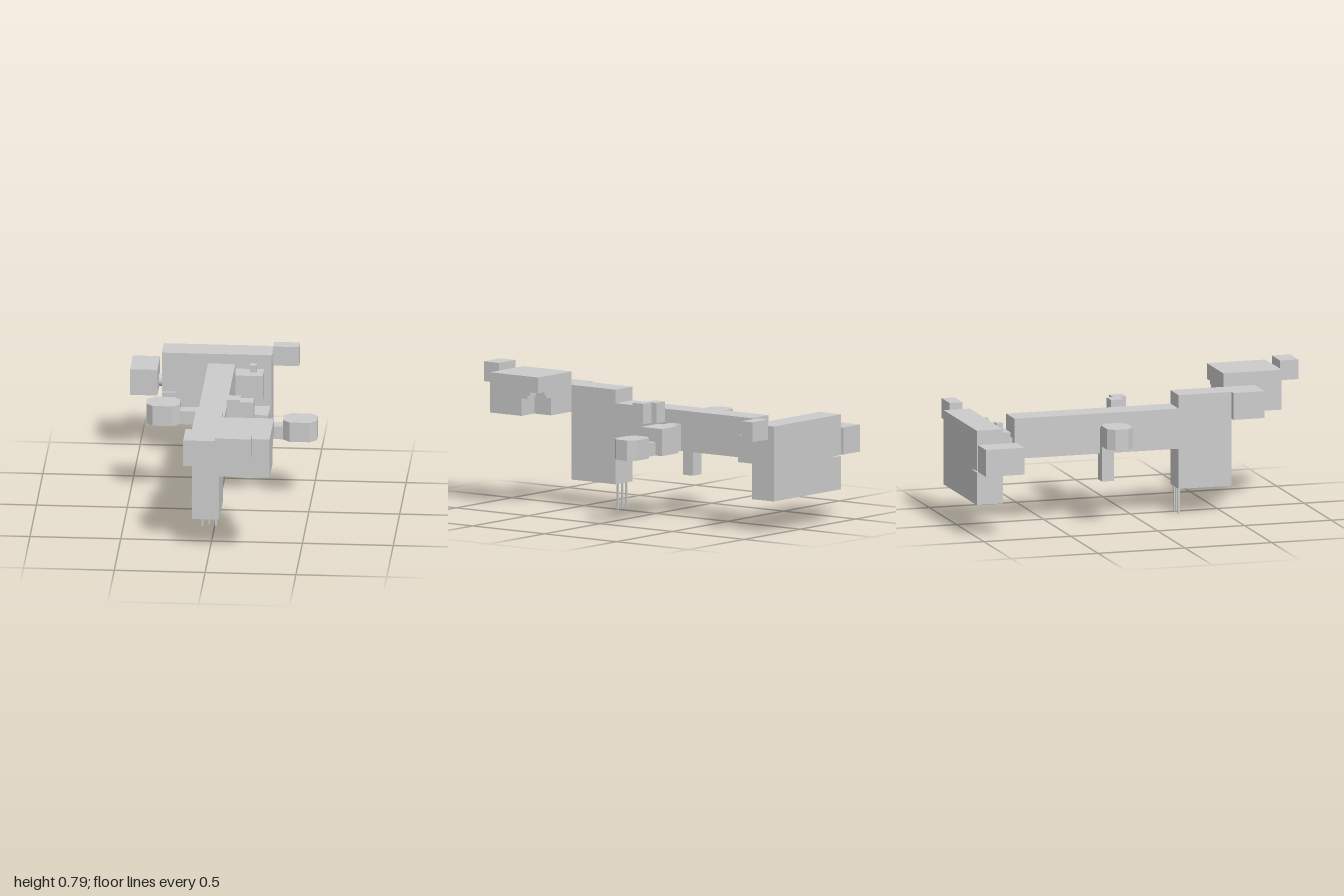
import * as THREE from 'three';

const grey = new THREE.MeshStandardMaterial({ color: 0xcccccc });
grey.name = 'light grey';

export function createModel() {
  const model = new THREE.Group();
  model.name = 'blockStation';

  function add(name, geometry) {
    const mesh = new THREE.Mesh(geometry, grey);
    mesh.name = name;
    model.add(mesh);
    return mesh;
  }

  // box given by its limits on each axis
  function box(name, x0, x1, y0, y1, z0, z1) {
    const g = new THREE.BoxGeometry(x1 - x0, y1 - y0, z1 - z0);
    g.translate((x0 + x1) / 2, (y0 + y1) / 2, (z0 + z1) / 2);
    return add(name, g);
  }

  const toPoints = (list, sign = 1) => list.map(([a, b]) => new THREE.Vector2(a, b * sign));
  const rect = (a0, a1, b0, b1) => [[a0, b0], [a1, b0], [a1, b1], [a0, b1]];

  // outline in x and y, extruded along z
  function slabZ(name, outline, z0, z1, hole) {
    const shape = new THREE.Shape(toPoints(outline));
    if (hole) shape.holes.push(hole);
    const g = new THREE.ExtrudeGeometry(shape, { depth: z1 - z0, bevelEnabled: false, curveSegments: 6 });
    g.translate(0, 0, z0);
    return add(name, g);
  }

  // outline in x and z, extruded upwards
  function slabY(name, outline, y0, y1, hole) {
    const shape = new THREE.Shape(toPoints(outline, -1));
    if (hole) shape.holes.push(new THREE.Path(toPoints(hole, -1)));
    const g = new THREE.ExtrudeGeometry(shape, { depth: y1 - y0, bevelEnabled: false });
    g.rotateX(-Math.PI / 2);
    g.translate(0, y0, 0);
    return add(name, g);
  }

  // main beam with a small square recess underneath
  box('beam', -0.105, 0.045, 0.39, 0.595, -0.7, 0.25);
  slabY('beamUnderside', rect(-0.105, 0.045, -0.7, 0.25), 0.37, 0.39, rect(-0.09, -0.03, -0.38, -0.32));

  // tall front block and its overhang, also recessed underneath
  box('frontBlock', -0.105, 0.045, 0.145, 0.67, 0.245, 0.55);
  box('overhang', -0.14, 0.045, 0.54, 0.67, 0.55, 0.73);
  slabY('overhangUnderside', rect(-0.14, 0.045, 0.55, 0.73), 0.52, 0.54, rect(-0.05, 0.01, 0.615, 0.675));

  // needles below the front block
  for (const [x, y] of [[-0.067, 0], [-0.03, 0.01], [0.008, 0]]) {
    box('needle', x - 0.005, x + 0.005, y, 0.15, 0.253, 0.263);
  }

  // big front block with a stepped notch in its lower rear corner
  const [bx0, bx1, bz0, bz1] = [0.045, 0.347, 0.55, 0.885];
  for (const [y0, y1, n] of [[0.522, 0.62, 0.115], [0.62, 0.638, 0.075], [0.638, 0.657, 0.057]]) {
    slabY('notchedBlockLayer', [[bx0, bz0], [bx1 - n, bz0], [bx1 - n, bz0 + n],
      [bx1, bz0 + n], [bx1, bz1], [bx0, bz1]], y0, y1);
  }
  box('notchedBlockTop', bx0, bx1, 0.657, 0.745, bz0, bz1);
  box('noseNeck', 0.11, 0.24, 0.68, 0.74, 0.88, 0.9);
  box('nose', 0.105, 0.252, 0.675, 0.785, 0.895, 1);

  // eight-sided pods at the ends of the arms
  function pod(name, x0, x1, y0, y1) {
    const z0 = -0.25, z1 = -0.1, c = 0.038;
    slabY(name, [[x0 + c, z0], [x1 - c, z0], [x1, z0 + c], [x1, z1 - c],
      [x1 - c, z1], [x0 + c, z1], [x0, z1 - c], [x0, z0 + c]], y0, y1);
  }
  pod('rightPod', -0.405, -0.22, 0.445, 0.56);
  box('rightArm', -0.23, -0.1, 0.445, 0.52, -0.207, -0.137);
  box('hangingLeg', -0.14, -0.065, 0.22, 0.52, -0.207, -0.137);
  pod('leftPod', 0.347, 0.535, 0.37, 0.483);
  box('leftOuterArm', 0.26, 0.355, 0.37, 0.445, -0.207, -0.137);
  box('leftInnerArm', 0.04, 0.125, 0.37, 0.52, -0.207, -0.137);

  // module on the left arm with a rounded recess in its front
  const slot = new THREE.Path();
  const [sx0, sx1, sy0, sy1, r] = [0.165, 0.227, 0.38, 0.495, 0.012];
  slot.absarc(sx1 - r, sy0 + r, r, -Math.PI / 2, 0);
  slot.absarc(sx1 - r, sy1 - r, r, 0, Math.PI / 2);
  slot.absarc(sx0 + r, sy1 - r, r, Math.PI / 2, Math.PI);
  slot.absarc(sx0 + r, sy0 + r, r, Math.PI, Math.PI * 1.5);
  box('armModule', 0.12, 0.27, 0.37, 0.52, -0.25, -0.14);
  slabZ('armModuleFront', rect(0.12, 0.27, 0.37, 0.52), -0.14, -0.104, slot);

  // pair of staggered boxes beside the beam
  box('sideBoxRear', 0.045, 0.122, 0.522, 0.635, -0.098, -0.025);
  box('sideBoxFront', 0.12, 0.195, 0.522, 0.635, -0.062, 0.013);

  // rear connector with two pegs
  box('connectorNeck', -0.07, 0, 0.41, 0.48, -0.73, -0.69);
  box('connector', -0.105, 0.195, 0.37, 0.52, -0.833, -0.722);
  box('peg', -0.035, 0.002, 0.52, 0.56, -0.78, -0.744);
  box('peg', 0.12, 0.157, 0.52, 0.56, -0.815, -0.778);
  const rearPin = new THREE.CylinderGeometry(0.035, 0.035, 0.04, 24);
  rearPin.rotateX(Math.PI / 2);
  rearPin.translate(0.157, 0.415, -0.842);
  add('rearPin', rearPin);

  // large rear plate with a thin slit
  slabZ('rearPlate', [[-0.37, 0.18], [0.235, 0.18], [0.235, 0.596], [-0.37, 0.596],
    [-0.37, 0.37], [-0.295, 0.37], [-0.295, 0.363], [-0.37, 0.363]], -1, -0.85);

  // boxes on either end of the rear plate
  box('leftNubNeck', 0.23, 0.245, 0.535, 0.585, -0.95, -0.905);
  box('leftNub', 0.24, 0.383, 0.522, 0.633, -0.965, -0.89);
  box('rightRearBox', -0.54, -0.39, 0.37, 0.52, -1, -0.78);
  const sidePin = new THREE.CylinderGeometry(0.035, 0.035, 0.04, 24);
  sidePin.rotateZ(Math.PI / 2);
  sidePin.translate(-0.38, 0.41, -0.925);
  add('sidePin', sidePin);

  return model;
}
